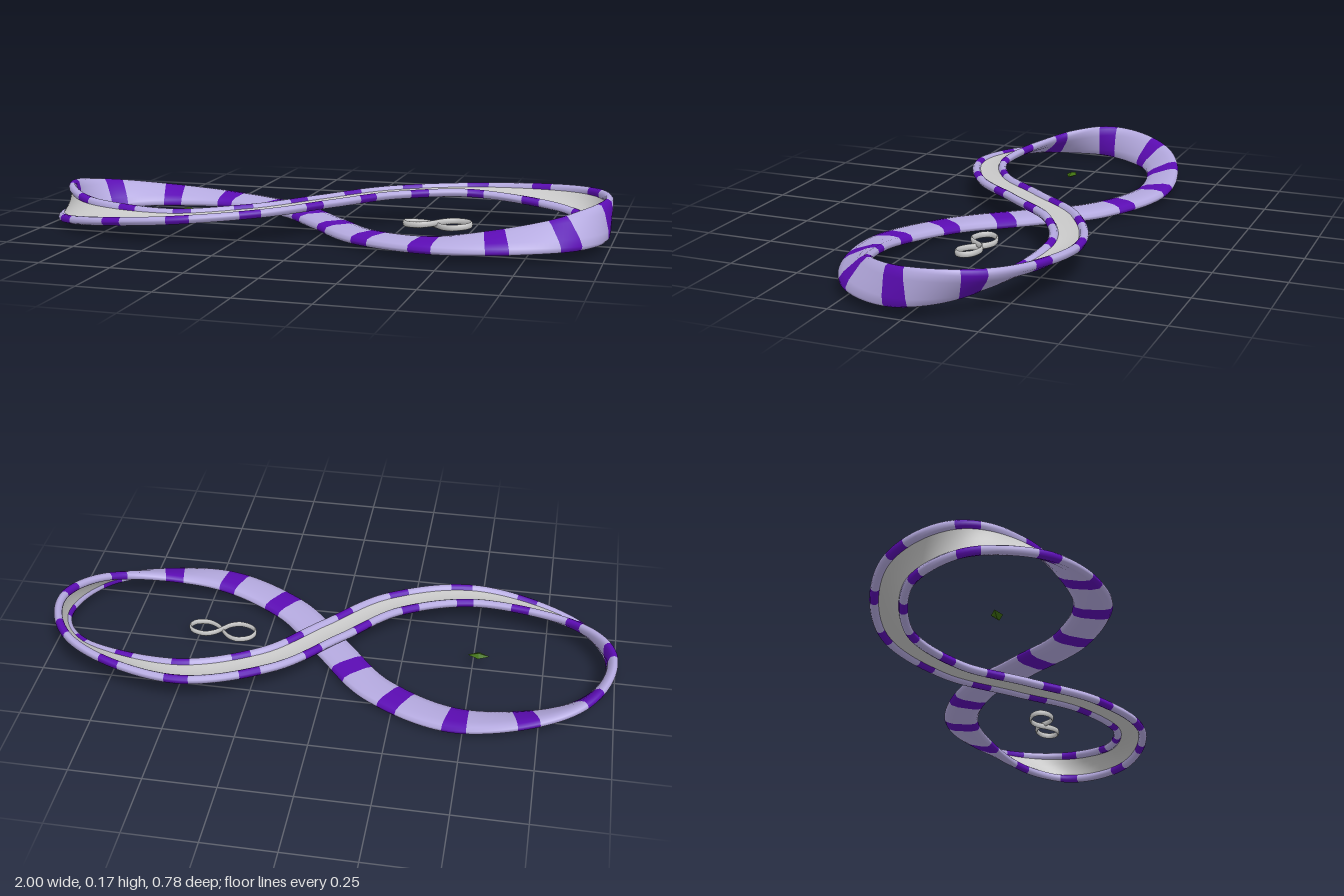
import * as THREE from 'three';

// Track centre line and roll: x, y, z, roll in degrees (0 = channel opens up, 180 = down)
const STATIONS = [
  [0.982, 0.1, 0, 90], [0.85, 0.08, 0.23, 139], [0.5, 0.048, 0.325, 171], [0.2, 0.032, 0.21, 178],
  [0, 0.028, 0, 180], [-0.2, 0.025, -0.21, 178], [-0.5, 0.03, -0.325, 171], [-0.85, 0.05, -0.23, 143],
  [-0.982, 0.07, 0, 90], [-0.85, 0.07, 0.23, 37], [-0.5, 0.084, 0.325, 6], [-0.2, 0.099, 0.21, 1],
  [0, 0.106, 0, 0], [0.2, 0.111, -0.21, 1], [0.5, 0.114, -0.325, 6], [0.85, 0.113, -0.23, 39],
];
// Cross-sections as [across, outward]: rounded back with broad rims, then the recessed floor
const SHELL = [
  [-0.034, 0.003], [-0.039, 0.012], [-0.048, 0.016], [-0.058, 0.014], [-0.064, 0.007], [-0.065, 0], [-0.058, -0.012],
  [-0.032, -0.018], [0, -0.018], [0.032, -0.018], [0.058, -0.012], [0.065, 0], [0.064, 0.007], [0.058, 0.014],
  [0.048, 0.016], [0.039, 0.012], [0.034, 0.003],
];
const FLOOR = [[0.034, 0.003], [0.018, 0], [0, -0.001], [-0.018, 0], [-0.034, 0.003]];
const STRIPES = 22, PER_STRIPE = 16, STRIPE_WIDTH = 5, SEGMENTS = STRIPES * PER_STRIPE;

const closedCurve = (points) => new THREE.CatmullRomCurve3(points, true, 'catmullrom', 0.5);
const path = closedCurve(STATIONS.map(([x, y, z]) => new THREE.Vector3(x, y, z)));
const roll = closedCurve(STATIONS.map((s) => new THREE.Vector3(s[3], 0, 0)));
path.arcLengthDivisions = 800;

// Position and axes of the rolled track at a fraction of its length
function frame(u) {
  const t = path.getUtoTmapping((u + 1) % 1);
  const angle = THREE.MathUtils.degToRad(roll.getPoint(t).x);
  const along = path.getTangent(t);
  const right = new THREE.Vector3(-along.z, 0, along.x).normalize();
  const up = new THREE.Vector3().crossVectors(right, along);
  const out = up.multiplyScalar(Math.cos(angle)).addScaledVector(right, Math.sin(angle));
  const across = new THREE.Vector3().crossVectors(along, out);
  return { origin: path.getPoint(t), out, across };
}

// Sweep a cross-section round the loop; every segment is given a material index
function sweep(profile, materialOf) {
  const geometry = new THREE.BufferGeometry();
  const positions = [], index = [], n = profile.length;
  for (let i = 0; i < SEGMENTS; i++) {
    const { origin, out, across } = frame((i - 0.8) / SEGMENTS);
    for (const [w, h] of profile) {
      positions.push(...origin.clone().addScaledVector(across, w).addScaledVector(out, h).toArray());
    }
    const next = (i + 1) % SEGMENTS;
    geometry.addGroup(index.length, (n - 1) * 6, materialOf(i));
    for (let j = 0; j < n - 1; j++) {
      const a = i * n + j, b = next * n + j;
      index.push(a, b, b + 1, a, b + 1, a + 1);
    }
  }
  geometry.setAttribute('position', new THREE.Float32BufferAttribute(positions, 3));
  geometry.setIndex(index);
  geometry.computeVertexNormals();
  return geometry;
}

export function createModel() {
  const group = new THREE.Group();
  const material = (name, color) => {
    const m = new THREE.MeshStandardMaterial({ color });
    m.name = name;
    return m;
  };
  const lavender = material('lavender', 0xb5aae0);
  const purple = material('purple', 0x5c0cb4);
  const grey = material('light grey', 0xcacaca);
  const green = material('green', 0x3f7010);

  const add = (name, geometry, mat) => {
    const mesh = new THREE.Mesh(geometry, mat);
    mesh.name = name;
    group.add(mesh);
    return mesh;
  };

  // Twisting channel with evenly spaced stripes, and its plain floor
  add('stripedShell', sweep(SHELL, (i) => (i % PER_STRIPE < STRIPE_WIDTH ? 1 : 0)), [lavender, purple]);
  add('trackFloor', sweep(FLOOR, () => 0), [grey]);

  // Small ring inside the right-hand loop, following the same line as the track
  const loop = closedCurve(STATIONS.map(([x, y, z]) => new THREE.Vector3(x * 0.121, (y - 0.07) * 0.06, z * 0.125)));
  const ring = add('miniatureLoop', new THREE.TubeGeometry(loop, 120, 0.005, 8, true), grey);
  ring.scale.y = 2.2;
  ring.position.set(0.405, 0.05, 0.014);

  // Small flat green gem inside the other loop
  const gem = add('greenGem', new THREE.OctahedronGeometry(1), green);
  gem.scale.set(0.04, 0.01, 0.02);
  gem.position.set(-0.52, 0.05, 0.016);

  return group;
}
